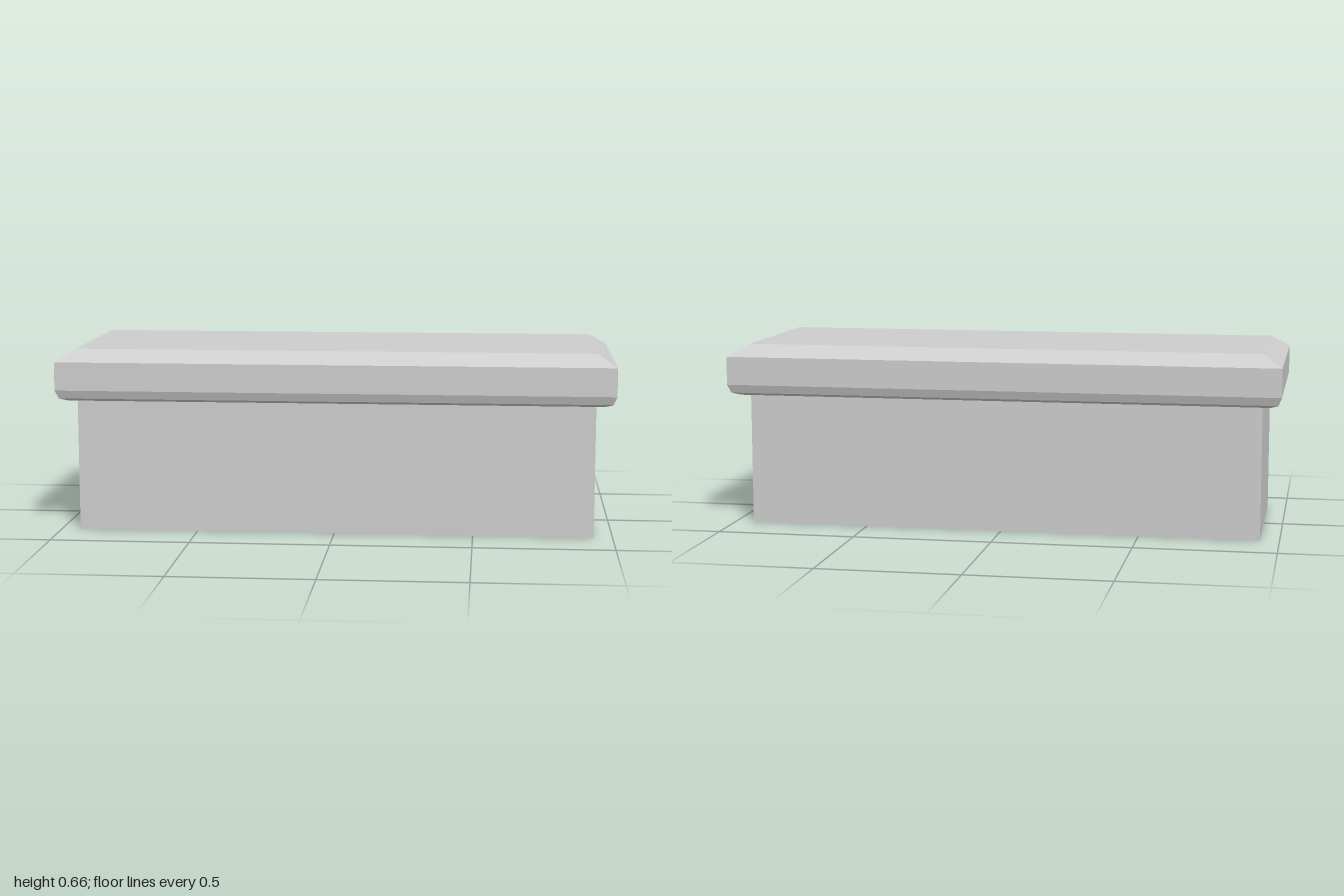
import * as THREE from 'three';

const HALF_X = 1, HALF_Z = 0.378;

// Lofts rectangular rings given as [inset from the outer edge, height], bottom to top.
function loft(rings, closeBottom, closeTop) {
  const pos = [];
  const loops = rings.map(([inset, y]) => {
    const x = HALF_X - inset, z = HALF_Z - inset;
    return [[-x, y, z], [x, y, z], [x, y, -z], [-x, y, -z]];
  });
  const quad = (a, b, c, d) => pos.push(...a, ...b, ...c, ...a, ...c, ...d);
  for (let i = 0; i < loops.length - 1; i++) {
    for (let k = 0; k < 4; k++) {
      const n = (k + 1) % 4;
      quad(loops[i][k], loops[i][n], loops[i + 1][n], loops[i + 1][k]);
    }
  }
  if (closeBottom) quad(...[...loops[0]].reverse());
  if (closeTop) quad(...loops[loops.length - 1]);
  const geo = new THREE.BufferGeometry();
  geo.setAttribute('position', new THREE.Float32BufferAttribute(pos, 3));
  geo.computeVertexNormals(); // unshared corners give flat faces
  return geo;
}

export function createModel() {
  const group = new THREE.Group();
  group.name = 'cappedPlinth';
  const stone = new THREE.MeshStandardMaterial({ color: 0xcccccc });
  stone.name = 'light grey stone';

  const add = (name, geo) => {
    const mesh = new THREE.Mesh(geo, stone);
    mesh.name = name;
    group.add(mesh);
  };

  // Plain rectangular body
  add('base', loft([[0.068, 0], [0.068, 0.479]], true, false));

  // Overhanging slab: rounded lower edge, bevelled top edge
  add('capSlab', loft([
    [0.068, 0.479], [0.04, 0.479], [0.012, 0.49], [0, 0.52], [0, 0.622], [0.068, 0.664],
  ], false, true));

  return group;
}
